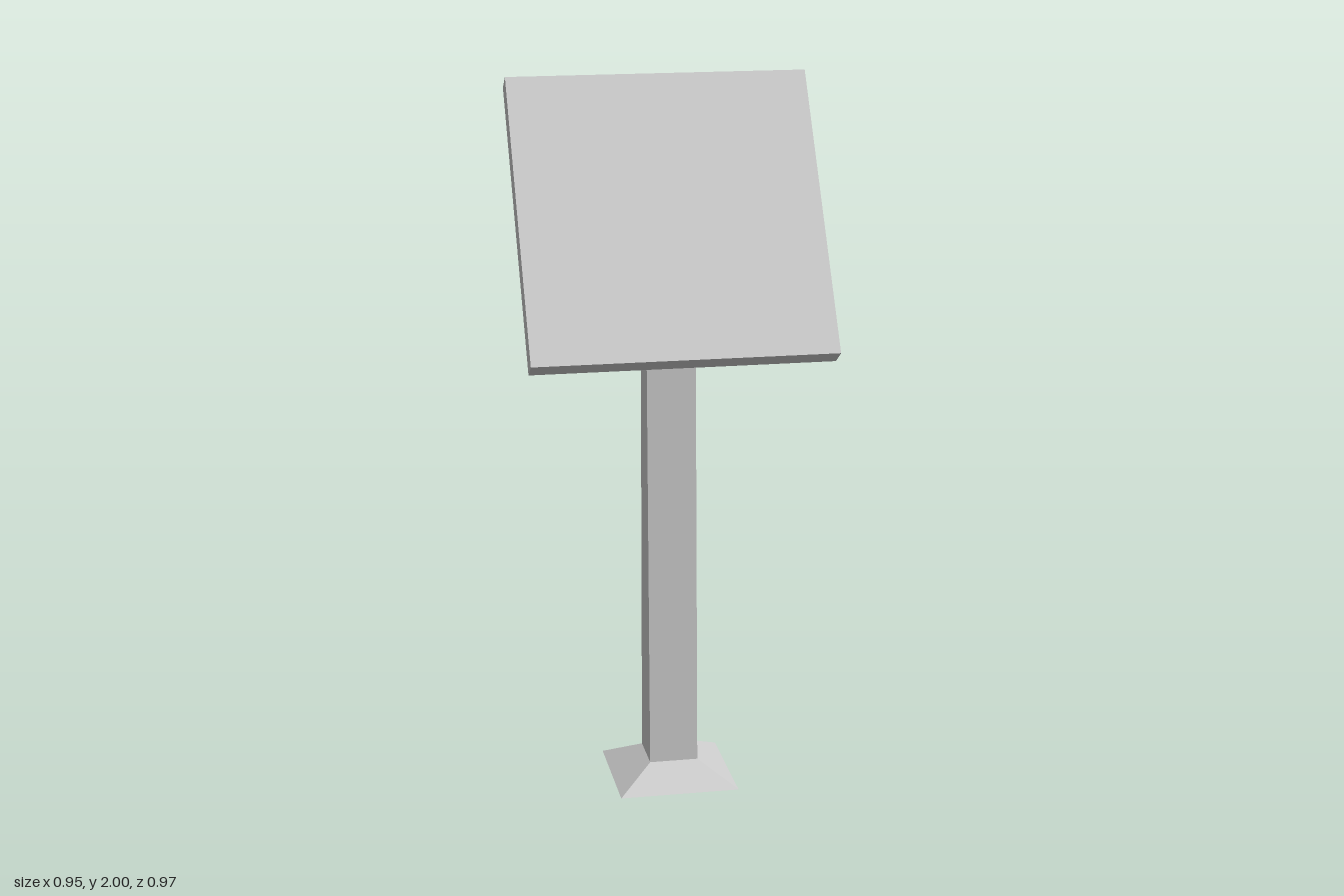
import * as THREE from 'three';

const material = new THREE.MeshStandardMaterial({ color: 0xcccccc, flatShading: true });

// Four-sided tapered block. Each end gives half width, back z / front z and the heights there.
function taperedBlock(name, bottom, top) {
  const geometry = new THREE.BoxGeometry(1, 1, 1);
  const p = geometry.attributes.position;
  for (let i = 0; i < p.count; i++) {
    const end = p.getY(i) > 0 ? top : bottom;
    const side = p.getZ(i) > 0 ? end.front : end.back;
    p.setXYZ(i, Math.sign(p.getX(i)) * end.half, side[1], side[0]);
  }
  geometry.computeVertexNormals();
  const mesh = new THREE.Mesh(geometry, material);
  mesh.name = name;
  return mesh;
}

export function createModel() {
  const model = new THREE.Group();
  model.name = 'signStand';

  // Foot: low square frustum
  model.add(taperedBlock('foot',
    { half: 0.17, back: [-0.18, 0], front: [0.16, 0] },
    { half: 0.069, back: [-0.078, 0.06], front: [0.06, 0.06] }));

  // Post: front leans back as it rises, slanted top ends inside the panel
  model.add(taperedBlock('post',
    { half: 0.069, back: [-0.078, 0.06], front: [0.06, 0.06] },
    { half: 0.069, back: [-0.073, 1.70], front: [0.008, 1.58] }));

  // Panel: square slab tilted upward
  const panel = new THREE.Mesh(new THREE.BoxGeometry(0.84, 0.84, 0.064), material);
  panel.name = 'panel';
  panel.position.y = 1.6325;
  panel.rotation.x = -0.588;
  model.add(panel);

  // The whole stand faces diagonally
  model.rotation.y = 0.833;
  const root = new THREE.Group();
  root.add(model);
  return root;
}
